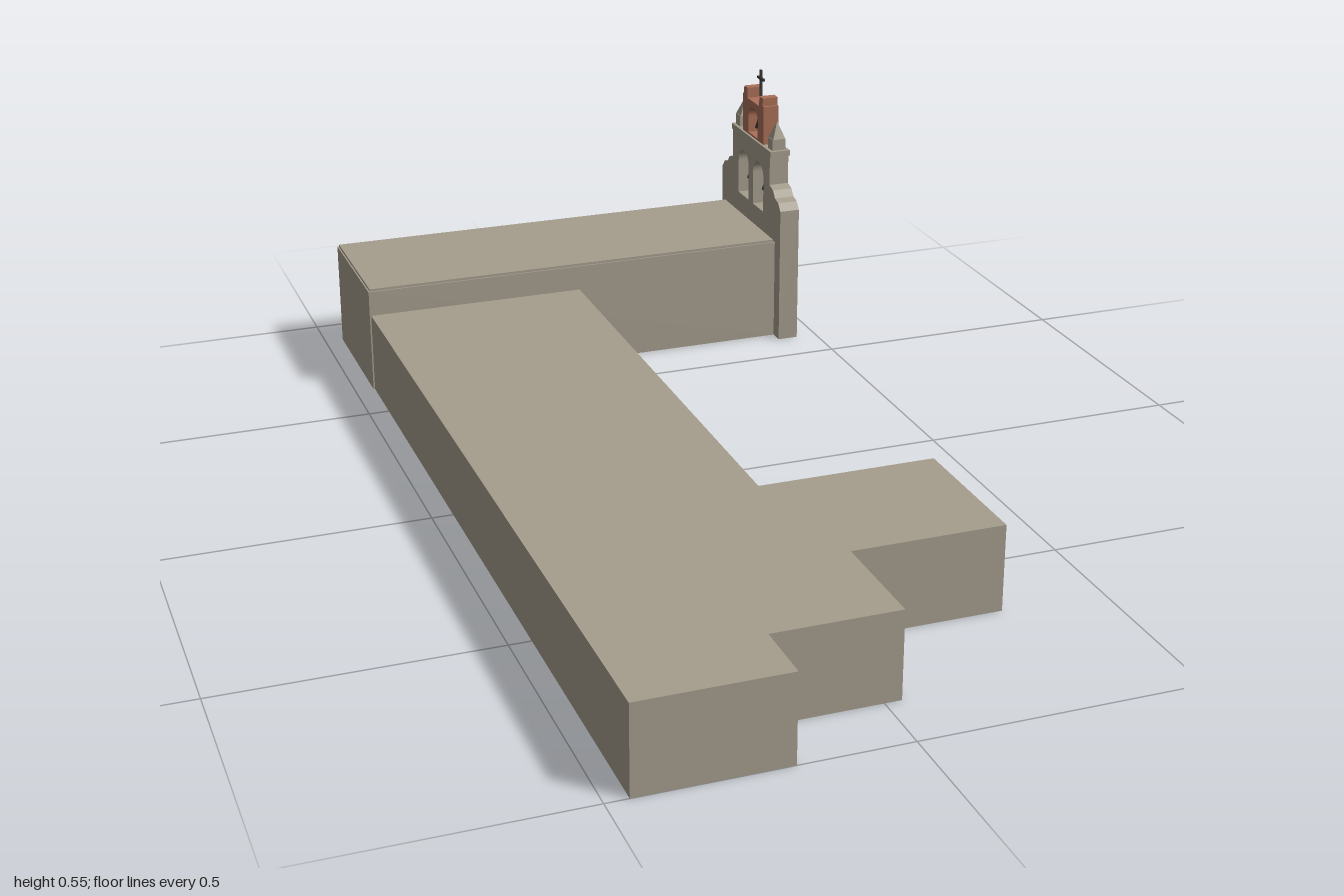
import * as THREE from 'three';

const mat = (name, color, side = THREE.FrontSide) => {
  const m = new THREE.MeshStandardMaterial({ color, side });
  m.name = name;
  return m;
};

export function createModel() {
  const stone = mat('stone', 0xa69e8e, THREE.DoubleSide);
  const brick = mat('terracotta', 0xab7059);
  const dark = mat('dark opening', 0x504c47);
  const wood = mat('door wood', 0x66523f);
  const iron = mat('iron', 0x3c3a38);
  const root = new THREE.Group();

  const add = (name, geo, material, x = 0, y = 0, z = 0, parent = root) => {
    const m = new THREE.Mesh(geo, material);
    m.name = name;
    m.position.set(x, y, z);
    parent.add(m);
    return m;
  };
  const box = (name, w, h, d, material, x, y, z, parent) =>
    add(name, new THREE.BoxGeometry(w, h, d), material, x, y, z, parent);

  // Walls and flat roof over a footprint of [x, z] corners, open underneath
  const shell = (name, pts, h) => {
    const pos = [];
    const n = pts.length;
    pts.forEach(([x, z], i) => {
      const [u, w] = pts[(i + 1) % n];
      pos.push(x, 0, z, x, h, z, u, h, w, x, 0, z, u, h, w, u, 0, w);
    });
    const v = pts.map(p => new THREE.Vector2(...p));
    THREE.ShapeUtils.triangulateShape(v, []).forEach(([a, b, c]) =>
      [a, c, b].forEach(k => pos.push(pts[k][0], h, pts[k][1])));
    const g = new THREE.BufferGeometry();
    g.setAttribute('position', new THREE.Float32BufferAttribute(pos, 3));
    g.computeVertexNormals();
    return add(name, g, stone);
  };
  const rect = (x0, x1, z0, z1) => [[x0, z0], [x1, z0], [x1, z1], [x0, z1]];

  // Round-headed outline: half width r, from y0 to the crown at y1
  const arch = (r, y0, y1, cx = 0, Type = THREE.Shape) => {
    const s = new Type();
    s.moveTo(cx - r, y0);
    s.lineTo(cx + r, y0);
    s.lineTo(cx + r, y1 - r);
    s.absarc(cx, y1 - r, r, 0, Math.PI, false);
    s.lineTo(cx - r, y0);
    return s;
  };
  // Extrudes an outline towards +x
  const slab = (name, shape, depth, material, x, z, parent) => {
    const g = new THREE.ExtrudeGeometry(shape, { depth, bevelEnabled: false, curveSegments: 10 });
    g.rotateY(Math.PI / 2);
    return add(name, g, material, x, 0, z, parent);
  };
  const mirrored = half => new THREE.Shape([
    ...half.map(([u, y]) => new THREE.Vector2(u, y)),
    ...half.slice().reverse().map(([u, y]) => new THREE.Vector2(-u, y))]);

  // Main volumes
  shell('cloisterWing', [[-0.46, -0.62], [-0.02, -0.62], [-0.02, 0.39], [0.31, 0.39], [0.31, 0.67],
    [0.03, 0.67], [0.03, 0.88], [-0.197, 0.88], [-0.197, 1], [-0.46, 1]], 0.16);
  shell('nave', rect(-0.463, 0.415, -0.91, -0.62), 0.211);
  box('naveRoof', 0.872, 0.005, 0.284, stone, -0.024, 0.2135, -0.765);
  shell('annex', rect(-0.235, -0.08, -1, -0.91), 0.182);

  // Arcade along the courtyard; the second bay has no brick surround
  [0.305, 0.175, 0.045, -0.087, -0.217, -0.348, -0.478].forEach((z, i) => {
    slab('arcadeOpening', arch(0.045, 0, 0.118), 0.003, dark, -0.02, z);
    if (i === 1) return;
    const ring = arch(0.054, 0, 0.13);
    ring.holes.push(arch(0.043, 0.0005, 0.117, 0, THREE.Path));
    slab('arcadeSurround', ring, 0.006, brick, -0.02, z);
  });

  // Bell gable front
  const gable = new THREE.Group();
  gable.name = 'bellGable';
  gable.position.set(0.436, 0, -0.762);
  root.add(gable);
  const wall = mirrored([[0.171, 0], [0.171, 0.288], [0.158, 0.303], [0.14, 0.308], [0.128, 0.322],
    [0.108, 0.328], [0.108, 0.4]]);
  for (const s of [-1, 1]) wall.holes.push(arch(0.03, 0.257, 0.36, s * 0.043, THREE.Path));
  slab('gableWall', wall, 0.042, stone, -0.021, 0, gable);
  box('cornice', 0.044, 0.012, 0.228, stone, 0, 0.396, 0, gable);
  slab('door', arch(0.042, 0, 0.15), 0.004, wood, 0.021, 0, gable);
  box('plaque', 0.004, 0.046, 0.038, dark, 0.022, 0.208, 0, gable);

  // Brick belfry with raised shoulders
  const belfry = mirrored([[0.06, 0.4], [0.06, 0.485], [0.054, 0.485], [0.054, 0.502], [0.034, 0.502],
    [0.034, 0.48]]);
  belfry.holes.push(arch(0.027, 0.406, 0.467, 0, THREE.Path));
  slab('belfry', belfry, 0.034, brick, -0.017, 0, gable);

  // Bells with their hanging rods
  const bellProfile = [[0, 0.014], [0.006, 0.013], [0.008, 0], [0.012, -0.012], [0, -0.012]]
    .reverse().map(p => new THREE.Vector2(...p));
  [[-0.043, 0.308, 0.36], [0.043, 0.308, 0.36], [0, 0.434, 0.467]].forEach(([z, y, top]) => {
    add('bell', new THREE.LatheGeometry(bellProfile, 10), iron, 0, y, z, gable);
    box('bellRod', 0.003, top - y, 0.003, iron, 0, (top + y) / 2, z, gable);
  });

  // Pinnacles on both corners
  for (const s of [-1, 1]) {
    box('pinnacleBase', 0.03, 0.025, 0.024, stone, 0, 0.4135, s * 0.094, gable);
    const spire = new THREE.ConeGeometry(0.0195, 0.036, 4).toNonIndexed();
    spire.rotateY(Math.PI / 4);
    spire.computeVertexNormals();
    add('pinnacleSpire', spire, stone, 0, 0.444, s * 0.094, gable);
  }

  // Cross
  box('crossPost', 0.005, 0.07, 0.005, iron, 0, 0.514, 0, gable);
  box('crossArm', 0.005, 0.005, 0.034, iron, 0, 0.53, 0, gable);
  return root;
}
